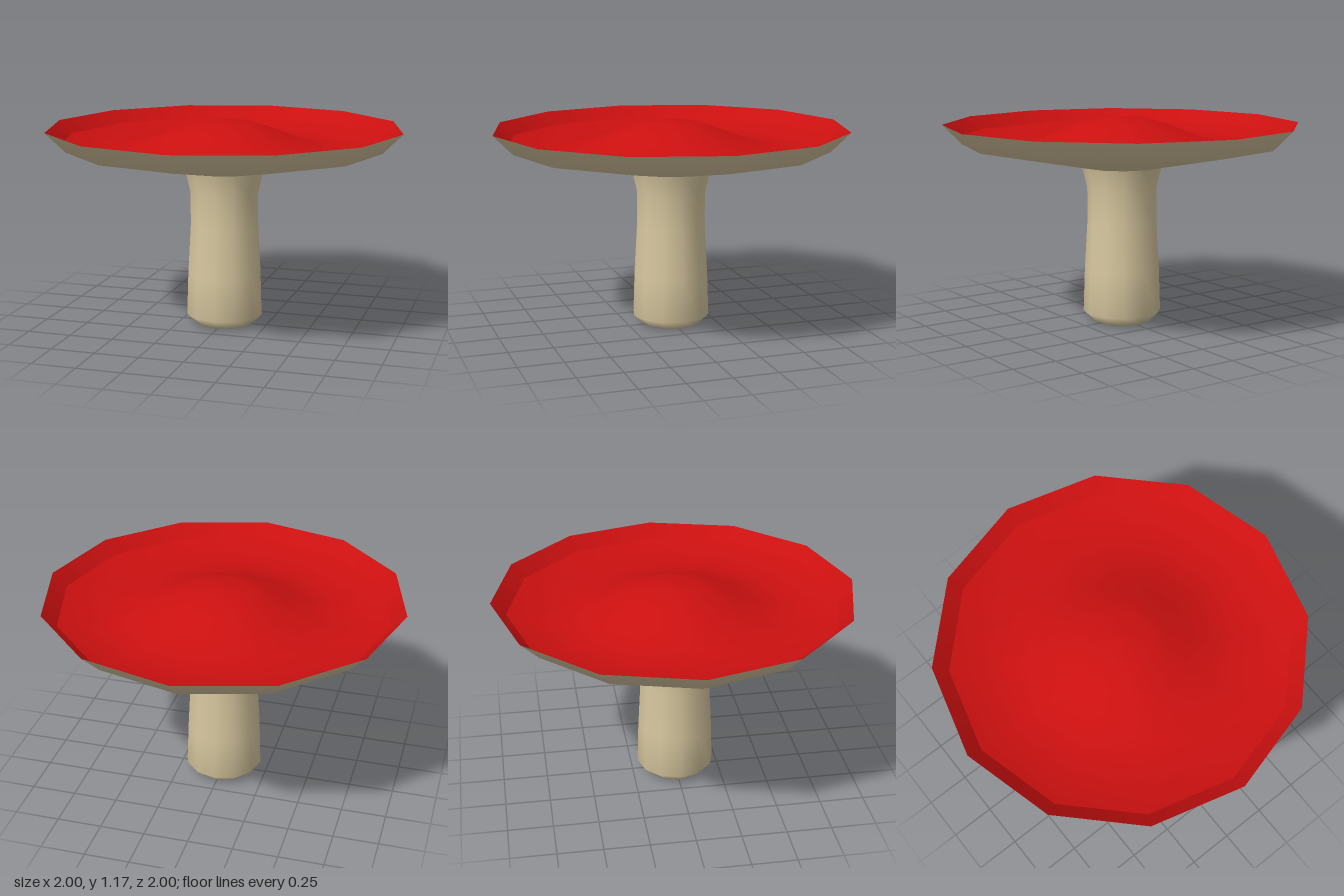
import * as THREE from 'three';

const SIDES = 12;

// Turns a list of [radius, height] points into a smooth twelve-sided surface.
function turned(name, points, material) {
  const profile = points.map(([r, y]) => new THREE.Vector2(r, y));
  const mesh = new THREE.Mesh(new THREE.LatheGeometry(profile, SIDES), material);
  mesh.name = name;
  return mesh;
}

export function createModel() {
  const cream = new THREE.MeshStandardMaterial({ color: 0xd8c8a0 });
  cream.name = 'cream flesh';
  const red = new THREE.MeshStandardMaterial({ color: 0xcc1010 });
  red.name = 'red cap';

  const mushroom = new THREE.Group();
  mushroom.name = 'mushroom';
  mushroom.add(
    // Stalk with a rounded foot, slim waist and flared neck
    turned('stalk', [
      [0, 0], [0.165, 0.005], [0.22, 0.06], [0.212, 0.3],
      [0.196, 0.58], [0.196, 0.77], [0.225, 0.89],
    ], cream),
    // Shallow cone below the cap, ending in a flared lip
    turned('capUnderside', [
      [0.225, 0.89], [0.47, 0.938], [0.72, 0.987], [0.89, 1.02], [1, 1.13],
    ], cream),
    // Sloping inner face of the lip
    turned('capRim', [[1, 1.13], [0.92, 1.058]], red),
    // Dished top rising to a low central dome
    turned('capTop', [
      [0.92, 1.058], [0.8, 1.025], [0.65, 1.01], [0.5, 1.03],
      [0.36, 1.085], [0.25, 1.128], [0.15, 1.158], [0, 1.17],
    ], red),
  );
  return mushroom;
}
